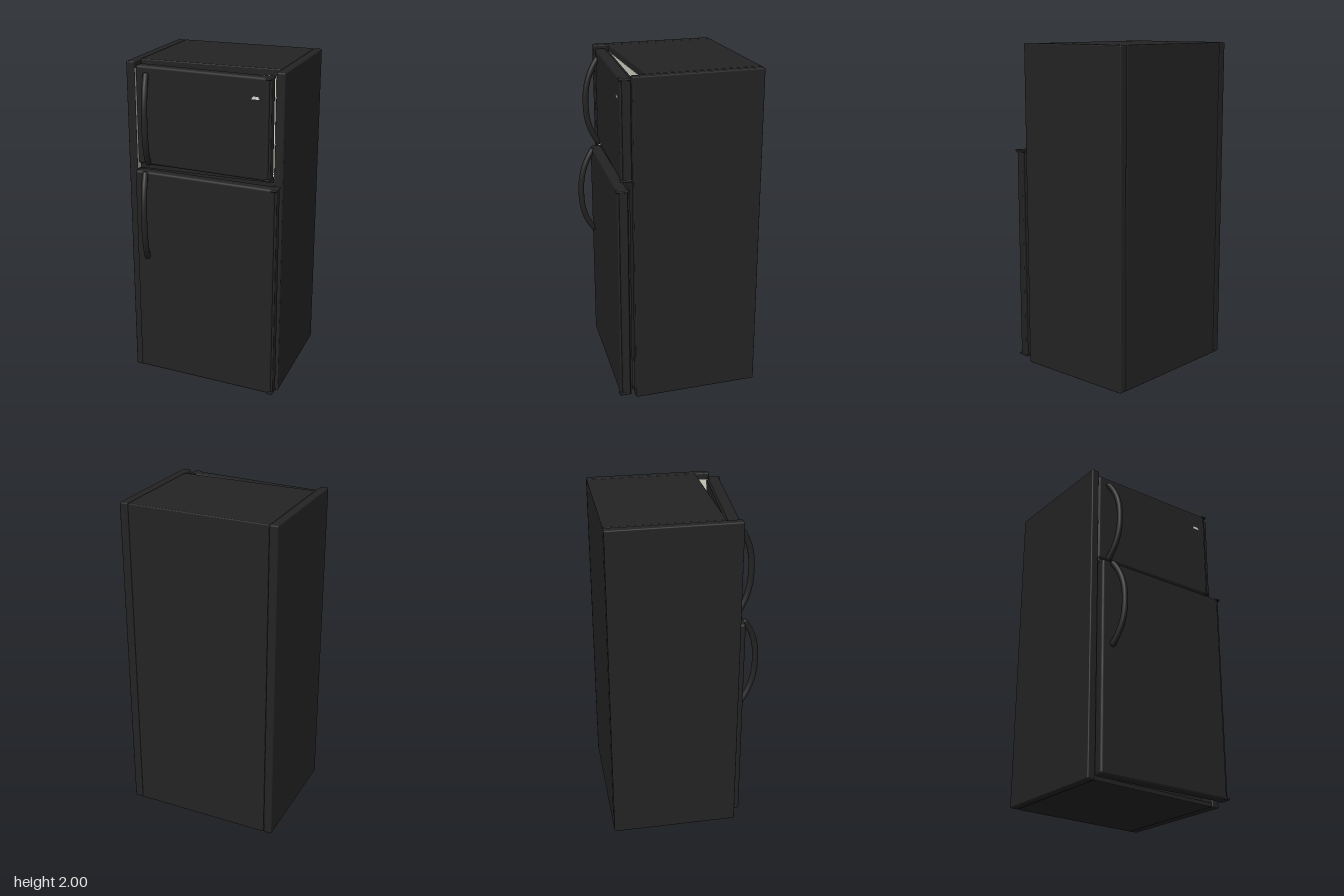
import * as THREE from 'three';
import { RoundedBoxGeometry } from 'three/addons/geometries/RoundedBoxGeometry.js';

export function createModel() {
  const black = new THREE.MeshStandardMaterial({ name: 'black enamel', color: 0x232323 });
  const cream = new THREE.MeshStandardMaterial({ name: 'cream liner', color: 0xd8d6c8 });
  const silver = new THREE.MeshStandardMaterial({ name: 'pale badge', color: 0xd9d9d9 });

  const model = new THREE.Group();
  model.name = 'refrigerator';

  // Box given by its lower and upper limits; r rounds the edges
  function block(parent, name, mat, [x0, y0, z0], [x1, y1, z1], r = 0) {
    const size = [x1 - x0, y1 - y0, z1 - z0];
    const geo = r ? new RoundedBoxGeometry(...size, 3, r) : new THREE.BoxGeometry(...size);
    const mesh = new THREE.Mesh(geo, mat);
    mesh.name = name;
    mesh.position.set((x0 + x1) / 2, (y0 + y1) / 2, (z0 + z1) / 2);
    parent.add(mesh);
    return mesh;
  }

  // Cabinet
  block(model, 'cabinetBody', black, [-0.432, 0, -0.46], [0.43, 2, 0.22], 0.006);
  block(model, 'leftSidePanel', black, [0.431, 0, -0.46], [0.483, 2, 0.31], 0.008);
  block(model, 'rightSidePanel', black, [-0.485, 0, -0.46], [-0.433, 2, 0.31], 0.008);
  block(model, 'basePlate', black, [-0.433, 0, 0.2], [0.431, 0.028, 0.305], 0.006);

  // Shelf between the compartments and the pale freezer lining
  block(model, 'divider', black, [-0.422, 1.352, 0.2], [0.42, 1.38, 0.285]);
  block(model, 'freezerFloor', cream, [-0.432, 1.38, 0.2], [0.43, 1.383, 0.287]);
  block(model, 'freezerBack', cream, [-0.43, 1.384, 0.2], [0.428, 1.96, 0.222]);
  for (const s of [-1, 1]) {
    const x = s * 0.4305;
    block(model, 'freezerSideLining', cream, [x - 0.003, 1.35, 0.2], [x + 0.003, 1.96, 0.302]);
  }

  // Bowed door handle, seated on a door front
  function addHandle(door, x, y, half, front) {
    const points = [];
    for (let i = 0; i <= 16; i++) {
      const u = i / 8 - 1;
      const bow = 1 - Math.abs(u) ** 2.4;
      points.push(new THREE.Vector3(x + 0.028 * bow, y + u * half, front + 0.004 + 0.079 * bow));
    }
    const curve = new THREE.CatmullRomCurve3(points);
    const handle = new THREE.Mesh(new THREE.TubeGeometry(curve, 48, 0.018, 14), black);
    handle.name = 'handle';
    door.add(handle);
    for (const end of [points[0], points[16]]) {
      const tip = new THREE.Mesh(new THREE.SphereGeometry(0.018, 14, 10), black);
      tip.name = 'handleEnd';
      tip.position.copy(end);
      door.add(tip);
    }
  }

  // Door standing slightly ajar, with a gasket behind and hinge caps on its left edge
  function addDoor(name, cx, cz, halfWidth, y0, y1, angle, handleY) {
    const door = new THREE.Group();
    door.name = name;
    door.position.set(cx, 0, cz);
    door.rotation.y = -angle;
    const w = halfWidth, t = 0.037;
    block(door, 'doorPanel', black, [-w, y0, -t + 0.006], [w - 0.012, y1, t], 0.016);
    block(door, 'doorGasket', black, [-w + 0.025, y0 + 0.012, -t - 0.006], [w - 0.03, y1 - 0.012, -t + 0.02]);
    block(door, 'hingeEdge', black, [w - 0.03, y0 + 0.008, -t + 0.012], [w, y1 - 0.008, t - 0.012], 0.006);
    for (const y of [y0, y1 - 0.014]) {
      block(door, 'hingeCap', black, [w - 0.034, y, -t + 0.004], [w + 0.002, y + 0.014, t + 0.005], 0.005);
    }
    addHandle(door, -0.357 - cx, handleY, 0.265, t);
    model.add(door);
    return door;
  }

  const freezer = addDoor('freezerDoor', -0.002, 0.3, 0.427, 1.383, 1.98, 0.075, 1.66);
  addDoor('fridgeDoor', 0.024, 0.343, 0.453, 0.026, 1.354, 0.06, 1.073);

  // Small plain badge on the freezer door
  const plate = new THREE.Shape();
  plate.moveTo(-0.026, -0.008);
  plate.lineTo(0.026, -0.008);
  plate.lineTo(0.016, 0.008);
  plate.lineTo(-0.016, 0.008);
  plate.closePath();
  const badge = new THREE.Mesh(
    new THREE.ExtrudeGeometry(plate, { depth: 0.004, bevelEnabled: false }), silver);
  badge.name = 'badge';
  badge.position.set(0.337, 1.861, 0.036);
  freezer.add(badge);

  return model;
}
